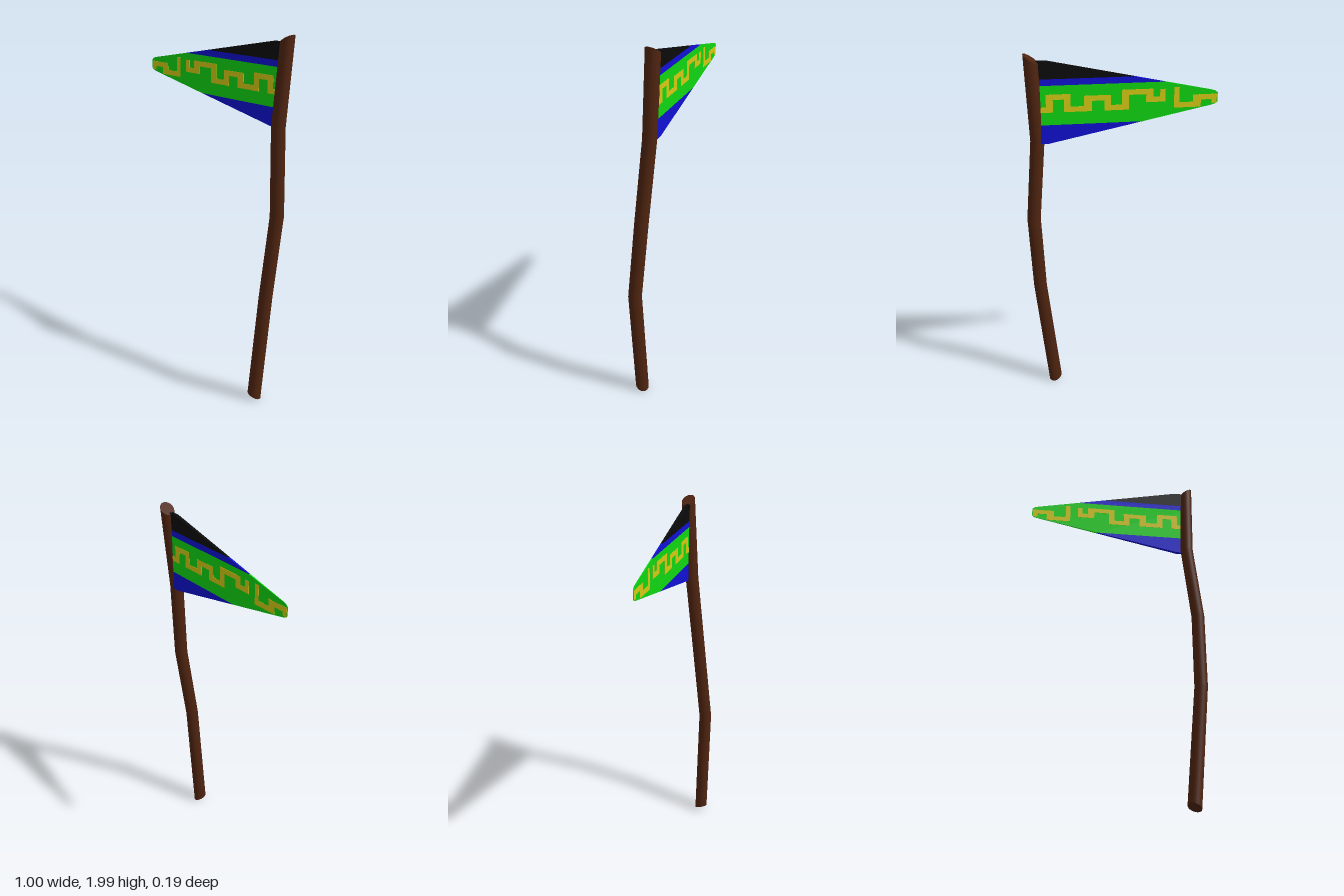
import * as THREE from 'three';

const material = (name, color, side = THREE.FrontSide) => {
  const m = new THREE.MeshStandardMaterial({ color, side });
  m.name = name;
  return m;
};

// Crooked wooden pole: a cylinder whose rings follow a bent path
function poleGeometry() {
  const path = [ // x, y, z from the top down
    [0.437, 1.975, -0.06], [0.421, 1.55, -0.031], [0.459, 1.1, 0.006],
    [0.443, 0.66, 0.058], [0.38, 0.021, 0.057],
  ];
  const tilt = { 0: [0.62, 0.12], 4: [-0.35, 0.35] }; // slanted cut ends
  const sides = 28, rows = path.length - 1;
  const g = new THREE.CylinderGeometry(0.036, 0.036, 1, sides, rows);
  const p = g.attributes.position;
  const radial = g.attributes.normal.array.slice(0, (sides + 1) * (rows + 1) * 3);
  for (let i = 0; i < p.count; i++) {
    const row = Math.round((0.5 - p.getY(i)) * rows);
    const [x, y, z] = path[row];
    const [tx, tz] = tilt[row] || [0, 0];
    const dx = p.getX(i), dz = p.getZ(i);
    p.setXYZ(i, x + dx, y + tx * dx + tz * dz, z + dz);
  }
  g.computeVertexNormals();
  g.attributes.normal.array.set(radial); // the side stays smooth, the cut ends flat
  return g;
}

// The pennant is a wedge: thick at the pole, thin at the tip
const FLAG_Z = -0.053;
const halfThickness = (x) => 0.0008 + 0.0095 * (x + 0.5) / 0.9;

function wedge(g, toZ) {
  const p = g.attributes.position;
  for (let i = 0; i < p.count; i++) p.setZ(i, FLAG_Z + toZ(p.getX(i), p.getZ(i)));
  g.computeVertexNormals();
  return g;
}

function bandGeometry(points) {
  const shape = new THREE.Shape(points.map(([x, y]) => new THREE.Vector2(x, y)));
  const g = new THREE.ExtrudeGeometry(shape, { depth: 2, bevelEnabled: false });
  return wedge(g, (x, z) => (z - 1) * halfThickness(x));
}

export function createModel() {
  const wood = material('brown wood', 0x4f2410);
  const black = material('black cloth', 0x0b0b0b);
  const blue = material('blue cloth', 0x1010d4);
  const green = material('green cloth', 0x10d812);
  const yellow = material('yellow paint', 0xd6cb14);

  const model = new THREE.Group();
  model.name = 'pennantOnPole';
  const add = (parent, name, geometry, mat) => {
    const mesh = new THREE.Mesh(geometry, mat);
    mesh.name = name;
    parent.add(mesh);
  };

  add(model, 'pole', poleGeometry(), wood);

  // Pennant cut into horizontal colour bands
  const flag = new THREE.Group();
  flag.name = 'pennant';
  model.add(flag);
  const R = 0.43;
  const topX = (y) => -0.468 + (y - 1.791) * 0.83 / 0.169;
  const lowX = (y) => -0.468 + (1.712 - y) * 0.83 / 0.169;
  const y1 = 1.64, y2 = 1.84, y3 = 1.872;
  add(flag, 'blackBand', bandGeometry([[topX(y3), y3], [R, y3], [R, 1.96], [0.362, 1.96]]), black);
  add(flag, 'upperBlueBand', bandGeometry([[topX(y2), y2], [R, y2], [R, y3], [topX(y3), y3]]), blue);
  add(flag, 'greenBand', bandGeometry([
    [lowX(y1), y1], [R, y1], [R, y2], [topX(y2), y2], [-0.468, 1.791],
    [-0.488, 1.785], [-0.5, 1.775], [-0.5, 1.728], [-0.488, 1.718], [-0.468, 1.712],
  ]), green);
  add(flag, 'lowerBlueBand', bandGeometry([[0.362, 1.543], [R, 1.543], [R, y1], [lowX(y1), y1]]), blue);

  // Winding stripe, painted on both faces as thin plates
  const stripe = new THREE.Group();
  stripe.name = 'windingStripe';
  flag.add(stripe);
  const lines = [
    [[-0.482, 1.735], [-0.482, 1.755], [-0.4, 1.755], [-0.385, 1.718], [-0.288, 1.718], [-0.288, 1.797]],
    [[-0.216, 1.79], [-0.216, 1.752], [-0.155, 1.752], [-0.145, 1.793], [-0.03, 1.793], [-0.022, 1.718],
      [0.06, 1.718], [0.067, 1.77], [0.155, 1.77], [0.168, 1.718], [0.262, 1.718], [0.268, 1.782],
      [0.35, 1.782], [0.358, 1.718], [0.4, 1.718]],
  ];
  const width = 0.027;
  for (const side of [1, -1]) {
    for (const line of lines) {
      for (let i = 0; i + 1 < line.length; i++) {
        const [ax, ay] = line[i], [bx, by] = line[i + 1];
        const g = new THREE.BoxGeometry(Math.abs(bx - ax) + width, Math.abs(by - ay) + width, 1);
        g.translate((ax + bx) / 2, (ay + by) / 2, 0);
        wedge(g, (x, z) => side * halfThickness(x) + z * 0.002);
        add(stripe, side > 0 ? 'frontStripePiece' : 'backStripePiece', g, yellow);
      }
    }
  }
  return model;
}
